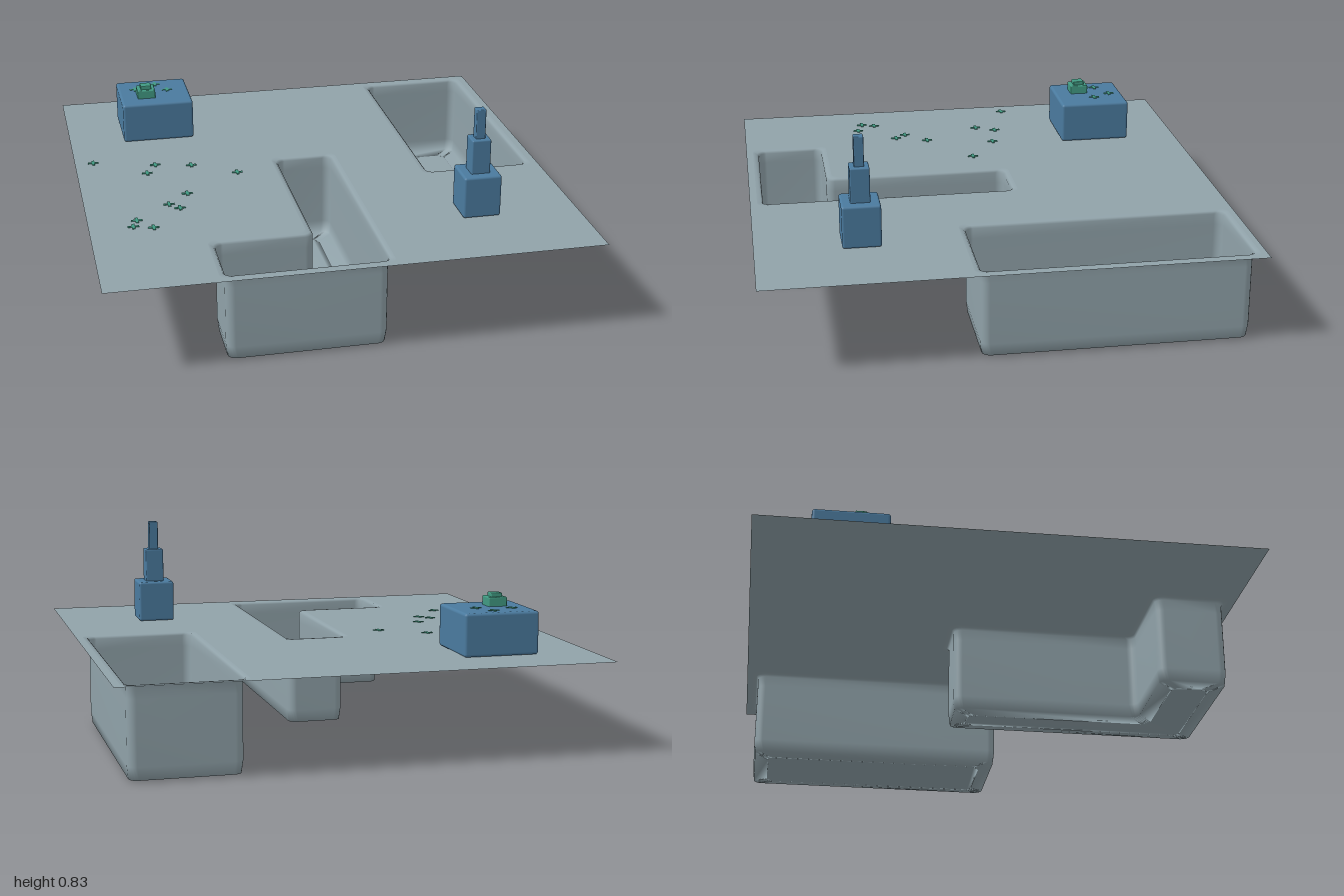
import * as THREE from 'three';
import { RoundedBoxGeometry } from 'three/addons/geometries/RoundedBoxGeometry.js';

const SHEET_Y = 0.377;
const LIP = 0.025;

// Plan corners [x, z] of the two sunken basins, wound so insets point inward
const BASINS = {
  longBasin: [[0.5, -0.95], [0.945, -0.95], [0.945, 0.14], [0.5, 0.14]],
  cornerBasin: [[-0.12, -0.125], [0.12, -0.125], [0.12, 0.945], [-0.525, 0.945], [-0.525, 0.66], [-0.12, 0.66]],
};

// Inset a right-angled plan by d, then round each corner with the same point count
function outline(plan, d, radius = 0.035, steps = 5) {
  const n = plan.length;
  const normal = (a, b) => {
    const dir = b.clone().sub(a).normalize();
    return new THREE.Vector2(-dir.y, dir.x);
  };
  const p = plan.map(([x, z]) => new THREE.Vector2(x, z));
  const q = p.map((c, i) => c.clone()
    .addScaledVector(normal(p[(i + n - 1) % n], c), d)
    .addScaledVector(normal(c, p[(i + 1) % n]), d));
  return q.flatMap((c, i) => {
    const toward = (o) => c.clone().add(o.clone().sub(c).setLength(radius));
    const a = toward(q[(i + n - 1) % n]);
    const b = toward(q[(i + 1) % n]);
    const o = a.clone().add(b).sub(c);
    return Array.from({ length: steps + 1 }, (_, k) => {
      const t = (k / steps) * Math.PI / 2;
      return o.clone()
        .addScaledVector(b.clone().sub(o), Math.sin(t))
        .addScaledVector(a.clone().sub(o), Math.cos(t));
    });
  });
}

// Skin of a basin: lip, wall, softened foot and floor
function basinGeometry(plan) {
  const profile = [[-LIP, SHEET_Y], [-0.008, 0.375], [0, 0.366], [0, 0.32], [0, 0.06], [0.006, 0.008], [0.065, 0]];
  const rings = profile.map(([d, y]) => outline(plan, d).map((v) => [v.x, y, v.y]));
  const count = rings[0].length;
  const index = [];
  for (let r = 0; r < rings.length - 1; r++) {
    for (let i = 0; i < count; i++) {
      const j = (i + 1) % count;
      const a = r * count + i, b = r * count + j;
      index.push(a, b, a + count, b, b + count, a + count);
    }
  }
  const floor = outline(plan, 0.065);
  const start = (rings.length - 1) * count;
  for (const [a, b, c] of THREE.ShapeUtils.triangulateShape(floor, [])) {
    index.push(start + a, start + c, start + b);
  }
  // Make the floor face the same way as the walls (up, into the basin)
  const geo = new THREE.BufferGeometry();
  geo.setAttribute('position', new THREE.Float32BufferAttribute(rings.flat(2), 3));
  const pos = geo.attributes.position;
  const u = new THREE.Vector3(), v = new THREE.Vector3(), w = new THREE.Vector3();
  for (let t = 0; t < index.length; t += 3) {
    if (Math.min(index[t], index[t + 1], index[t + 2]) < start) continue;
    u.fromBufferAttribute(pos, index[t]);
    v.fromBufferAttribute(pos, index[t + 1]).sub(u);
    w.fromBufferAttribute(pos, index[t + 2]).sub(u);
    if (v.cross(w).y < 0) [index[t + 1], index[t + 2]] = [index[t + 2], index[t + 1]];
  }
  geo.setIndex(index);
  geo.computeVertexNormals();
  return geo;
}

export function createModel() {
  const model = new THREE.Group();
  model.name = 'basinBoard';
  const grey = new THREE.MeshStandardMaterial({ color: 0x90a2a9, side: THREE.DoubleSide });
  grey.name = 'blueGrey';
  const blue = new THREE.MeshStandardMaterial({ color: 0x4a7a9e });
  blue.name = 'steelBlue';
  const green = new THREE.MeshStandardMaterial({ color: 0x419a82 });
  green.name = 'seaGreen';

  const add = (name, geo, mat, x = 0, y = 0, z = 0, parent = model) => {
    const mesh = new THREE.Mesh(geo, mat);
    mesh.name = name;
    mesh.position.set(x, y, z);
    parent.add(mesh);
    return mesh;
  };

  // Ground sheet with an opening for each basin
  const sheet = new THREE.Shape([[-1, -1], [1, -1], [1, 1], [-1, 1]].map(([x, y]) => new THREE.Vector2(x, y)));
  for (const [name, plan] of Object.entries(BASINS)) {
    sheet.holes.push(new THREE.Path(outline(plan, -LIP).map((v) => new THREE.Vector2(v.x, -v.y))));
    add(name, basinGeometry(plan), grey);
  }
  add('groundSheet', new THREE.ShapeGeometry(sheet).rotateX(-Math.PI / 2), grey, 0, SHEET_Y);

  // Softened block standing between two heights
  const block = (name, mat, width, depth, y0, y1, x, z, r, parent) =>
    add(name, new RoundedBoxGeometry(width, y1 - y0, depth, 3, r), mat, x, (y0 + y1) / 2, z, parent);

  // Wide block with a stepped roof cap
  const house = new THREE.Group();
  house.name = 'wideBlock';
  model.add(house);
  block('wideBlockBody', blue, 0.318, 0.312, 0.379, 0.557, -0.6, -0.615, 0.012, house);
  block('roofCapBase', green, 0.08, 0.08, 0.55, 0.595, -0.642, -0.572, 0.005, house);
  block('roofCapTop', green, 0.048, 0.048, 0.585, 0.611, -0.642, -0.572, 0.004, house);

  // Three-tier tower
  const tower = new THREE.Group();
  tower.name = 'tower';
  model.add(tower);
  [[0.158, 0.379, 0.557, 0.01], [0.08, 0.545, 0.702, 0.006], [0.04, 0.69, 0.826, 0.004]].forEach(([w, y0, y1, r], i) =>
    block(`towerTier${i + 1}`, blue, w, w, y0, y1, 0.585, 0.572, r, tower));

  // Small crosses scattered over the sheet and the roof
  const crosses = (name, y, spots) => {
    const group = new THREE.Group();
    group.name = name;
    model.add(group);
    for (const [x, z] of spots) {
      add('crossBar', new THREE.BoxGeometry(0.046, 0.003, 0.012), green, x, y, z, group);
      for (const s of [-1, 1]) {
        add('crossArm', new THREE.BoxGeometry(0.012, 0.003, 0.017), green, x, y, z + s * 0.0145, group);
      }
    }
  };
  crosses('groundCrosses', SHEET_Y + 0.002, [
    [-0.92, -0.25], [-0.655, -0.175], [-0.7, -0.09], [-0.5, -0.14], [-0.315, -0.02], [-0.56, 0.16],
    [-0.65, 0.255], [-0.61, 0.3], [-0.8, 0.387], [-0.82, 0.443], [-0.74, 0.467],
  ]);
  crosses('roofCrosses', 0.558, [[-0.683, -0.66], [-0.585, -0.71], [-0.538, -0.63]]);

  return model;
}
